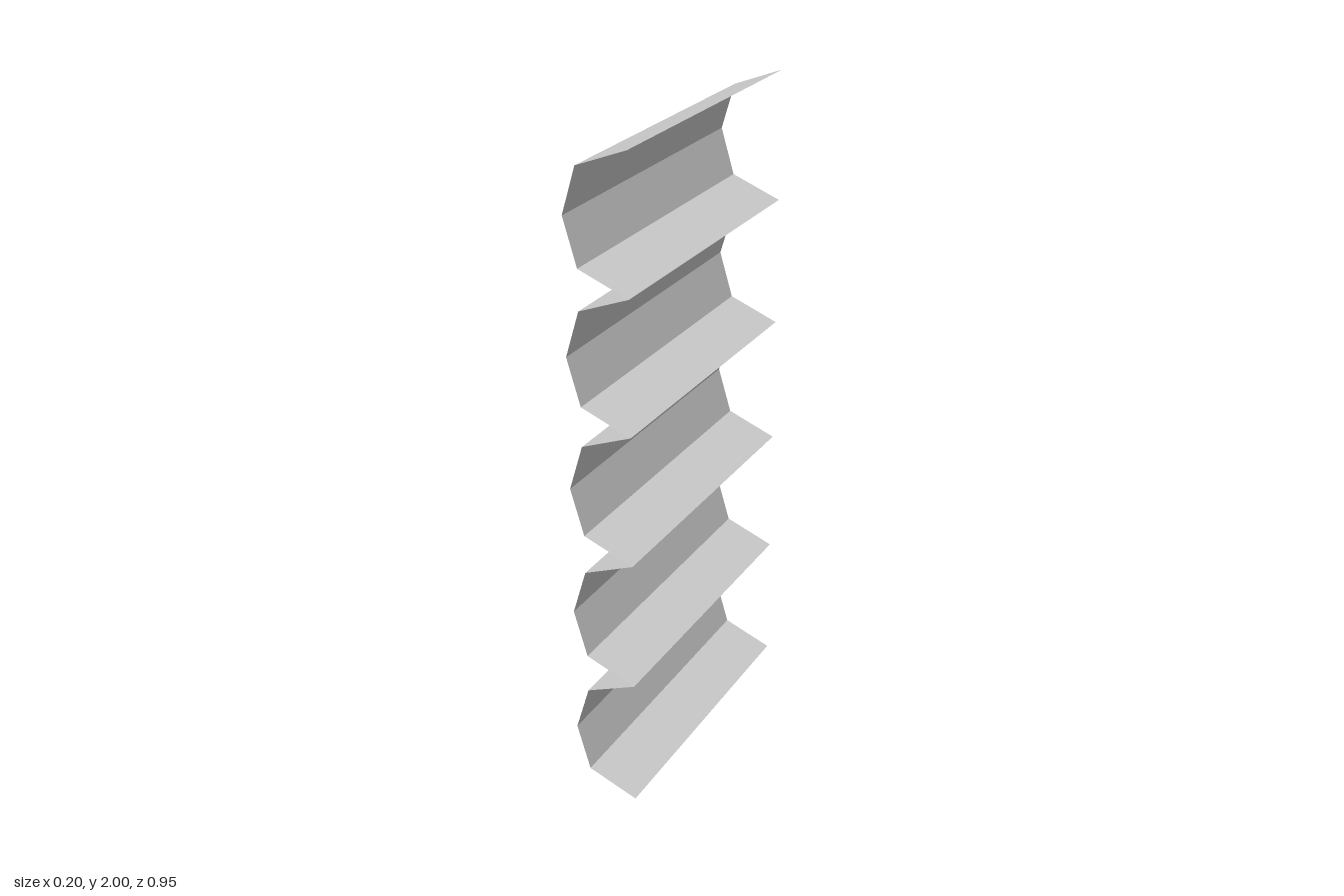
import * as THREE from 'three';

// Open pleated sheet: one fold profile (x, y) repeated up the height
const PITCH = 0.4;
const PLEATS = 5;
const DEPTH = 0.95;
const FOLD = [[0.098, 0], [-0.056, 0.06], [-0.098, 0.2], [-0.056, 0.34]];

function pleatedSheet() {
  const rows = PLEATS * FOLD.length;
  const sheet = new THREE.PlaneGeometry(DEPTH, PITCH * PLEATS, 1, rows);
  sheet.rotateY(Math.PI / 2);
  const pos = sheet.attributes.position;
  for (let i = 0; i < pos.count; i++) {
    const row = rows - Math.floor(i / 2); // rows run from top to bottom
    const [x, y] = FOLD[row % FOLD.length];
    pos.setX(i, x);
    pos.setY(i, y + PITCH * Math.floor(row / FOLD.length));
  }
  const flat = sheet.toNonIndexed();
  flat.computeVertexNormals();
  return flat;
}

export function createModel() {
  const group = new THREE.Group();
  const material = new THREE.MeshStandardMaterial({
    color: 0xcccccc, flatShading: true, side: THREE.DoubleSide,
  });
  const mesh = new THREE.Mesh(pleatedSheet(), material);
  mesh.name = 'pleatedSheet';
  group.add(mesh);
  return group;
}
